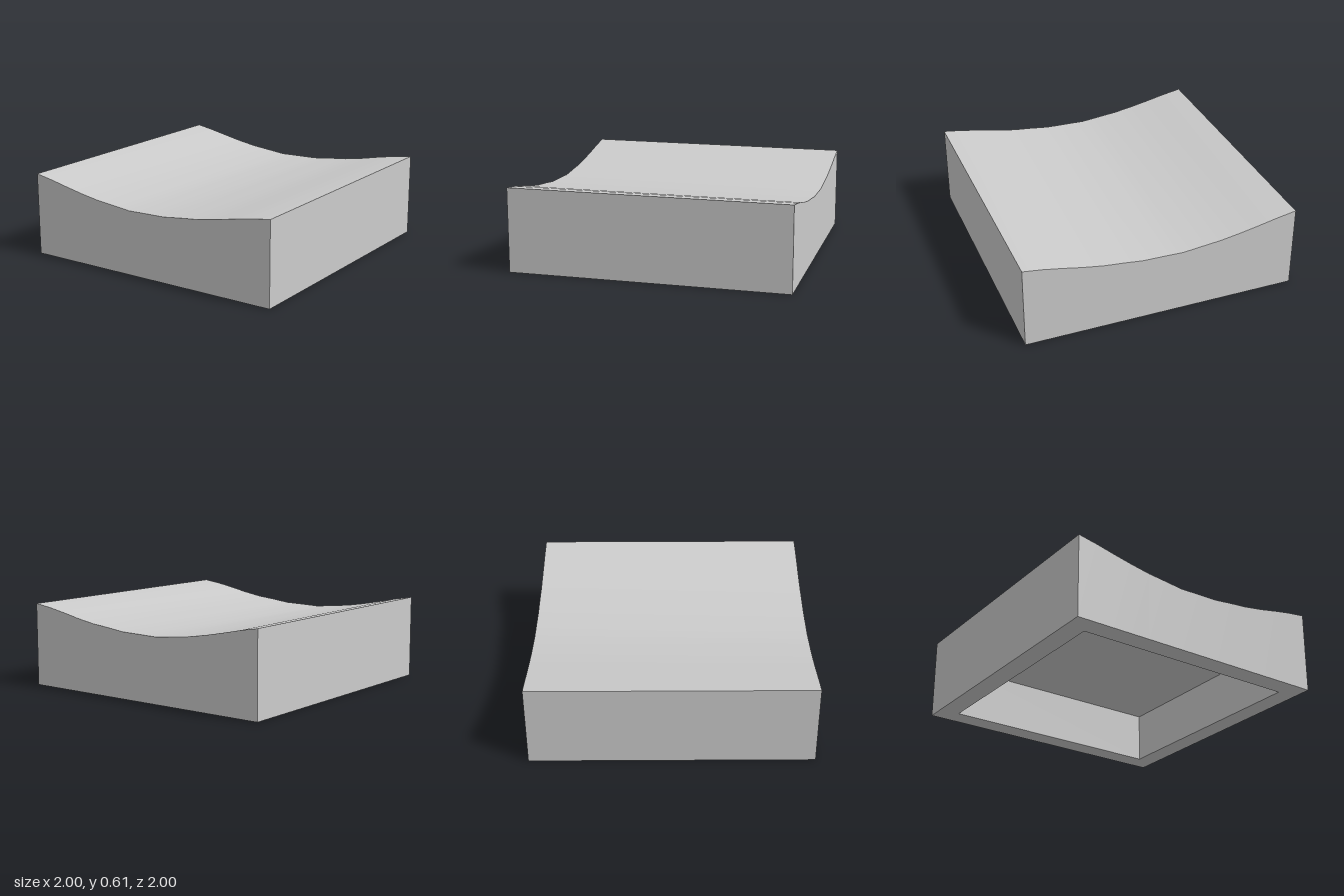
import * as THREE from 'three';

// Curved top, left to right: [x, y]
const PROFILE = [
  [-1, 0.605], [-0.86, 0.58], [-0.72, 0.55], [-0.58, 0.522], [-0.43, 0.497], [-0.29, 0.483], [-0.15, 0.468],
  [0, 0.472], [0.15, 0.475], [0.29, 0.492], [0.43, 0.506], [0.58, 0.531], [0.72, 0.56], [0.86, 0.586], [1, 0.605],
];
const INNER = 0.85; // half width of the recess
const DEPTH = 0.38; // height of the recess ceiling

// Box standing on y = 0 without its bottom face
function openBox(width, height, segments = 1) {
  const geometry = new THREE.BoxGeometry(width, height, width, segments, 1, 1);
  geometry.translate(0, height / 2, 0);
  const bottom = geometry.groups[3];
  const index = Array.from(geometry.index.array);
  index.splice(bottom.start, bottom.count);
  geometry.setIndex(index);
  geometry.clearGroups();
  return geometry;
}

function square(half, Type) {
  return new Type([[-half, -half], [half, -half], [half, half], [-half, half]].map(([x, y]) => new THREE.Vector2(x, y)));
}

export function createModel() {
  const group = new THREE.Group();
  const material = new THREE.MeshStandardMaterial({ color: 0xcccccc });
  const add = (name, geometry) => {
    const mesh = new THREE.Mesh(geometry, material);
    mesh.name = name;
    group.add(mesh);
    return mesh;
  };

  // Outer block: each column of vertices follows the dished profile
  const segments = PROFILE.length - 1;
  const shell = openBox(2, 1, segments);
  const position = shell.attributes.position;
  for (let i = 0; i < position.count; i++) {
    const [x, y] = PROFILE[Math.round((position.getX(i) + 1) / 2 * segments)];
    position.setX(i, x);
    if (position.getY(i) > 0.5) position.setY(i, y);
  }
  shell.computeVertexNormals();
  add('dishedBlock', shell);

  // Recess underneath: the same open box turned inside out
  const recess = openBox(INNER * 2, DEPTH);
  recess.setIndex(Array.from(recess.index.array).reverse());
  recess.computeVertexNormals();
  add('undersideRecess', recess);

  // Flat rim around the recess, facing down
  const rim = square(1, THREE.Shape);
  rim.holes.push(square(INNER, THREE.Path));
  add('bottomRim', new THREE.ShapeGeometry(rim).rotateX(Math.PI / 2));

  return group;
}
